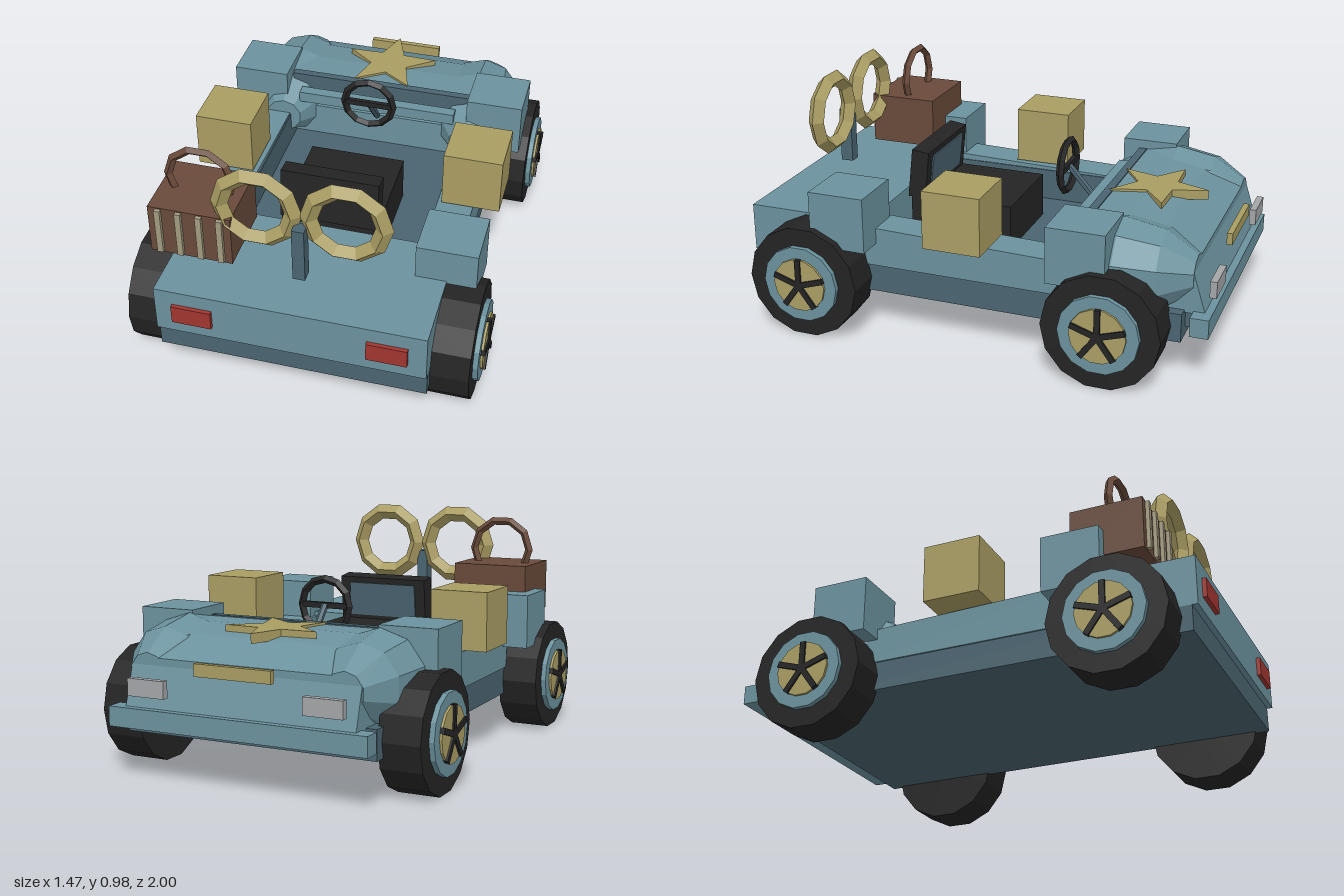
import * as THREE from 'three';

const mat = (name, color) => {
  const m = new THREE.MeshStandardMaterial({ color, flatShading: true });
  m.name = name;
  return m;
};

export function createModel() {
  const car = new THREE.Group();
  car.name = 'openCar';
  const blue = mat('bodyBlue', 0x6b929e), dark = mat('darkBlue', 0x4a6470),
    black = mat('rubberBlack', 0x242424), gold = mat('dullGold', 0xaa9d63),
    brown = mat('leatherBrown', 0x694a3a), red = mat('lampRed', 0xa0352f),
    grey = mat('lampGrey', 0xa3a6a8), beige = mat('strapBeige', 0xa39b80);

  const add = (name, geo, m, parent = car) => {
    const mesh = new THREE.Mesh(geo, m);
    mesh.name = name;
    parent.add(mesh);
    return mesh;
  };
  // Box given by its limits on each axis
  const box = (name, m, x0, x1, y0, y1, z0, z1, parent = car) => {
    const mesh = add(name, new THREE.BoxGeometry(x1 - x0, y1 - y0, z1 - z0), m, parent);
    mesh.position.set((x0 + x1) / 2, (y0 + y1) / 2, (z0 + z1) / 2);
    return mesh;
  };
  // Side profile of [z, y] points, extruded across the car from x0 to x1
  const profile = (name, m, pts, x0, x1) => {
    const shape = new THREE.Shape(pts.map(([z, y]) => new THREE.Vector2(-z, y)));
    const geo = new THREE.ExtrudeGeometry(shape, { depth: x1 - x0, bevelEnabled: false });
    geo.rotateY(Math.PI / 2).translate(x0, 0, 0);
    return add(name, geo, m);
  };
  const ring = (name, m, R, r, n, x, y, z) => {
    const mesh = add(name, new THREE.TorusGeometry(R, r, 4, n), m);
    mesh.position.set(x, y, z);
    return mesh;
  };

  // Chassis, rear deck and nose
  box('chassis', dark, -0.545, 0.545, 0.18, 0.3, -0.885, 0.96);
  box('rearDeck', blue, -0.545, 0.545, 0.285, 0.488, 0.45, 0.983);
  profile('hood', blue, [[-0.47, 0.3], [-0.47, 0.595], [-0.61, 0.595], [-0.76, 0.568],
    [-0.915, 0.49], [-0.915, 0.3]], -0.42, 0.42);
  profile('nose', blue, [[-0.42, 0.29], [-0.42, 0.45], [-0.8, 0.47], [-0.915, 0.46], [-0.968, 0.29]], -0.5, 0.5);
  box('bumper', blue, -0.56, 0.56, 0.22, 0.3, -0.995, -0.92);
  box('bumperMount', dark, -0.48, 0.48, 0.22, 0.29, -0.92, -0.88);

  // Dashboard and cowl
  box('dashboard', dark, -0.41, 0.41, 0.3, 0.6, -0.475, -0.44);
  box('cowlBar', blue, -0.36, 0.36, 0.5, 0.55, -0.415, -0.365);

  // Fender dome, laid along the car
  const domePts = [[0, -0.3], [0.08, -0.3], [0.165, -0.17], [0.195, 0], [0.165, 0.15], [0.08, 0.28], [0, 0.28]];
  const dome = new THREE.LatheGeometry(domePts.map(p => new THREE.Vector2(...p)), 10);
  dome.rotateX(Math.PI / 2);

  for (const s of [1, -1]) {
    const side = (name, m, a, b, ...r) => box(name, m, Math.min(s * a, s * b), Math.max(s * a, s * b), ...r);
    // Sills, fenders and side crates
    const [a, b] = s > 0 ? [0.4, 0.552] : [-0.552, -0.4];
    profile('sill', blue, [[0.46, 0.3], [0.46, 0.468], [-0.42, 0.445], [-0.42, 0.3]], a, b);
    side('innerPanel', dark, 0.395, 0.4, 0.3, 0.44, -0.44, 0.45);
    side('rearFender', blue, 0.418, 0.664, 0.4, 0.635, 0.405, 0.647);
    side('frontFender', blue, 0.418, 0.664, 0.4, 0.635, -0.608, -0.367);
    side('sideCrate', gold, 0.418, 0.664, 0.465, 0.71, -0.1, 0.145);
    add('fenderDome', dome, blue).position.set(s * 0.428, 0.43, -0.615);
    // Lamps
    side('headlight', grey, 0.3, 0.465, 0.35, 0.42, -1, -0.972);
    side('tailLight', red, 0.31, 0.472, 0.345, 0.425, 0.975, 1);

    // Wheels: tyre, rim, hub disc and five spokes
    for (const z of [0.677, -0.603]) {
      const wheel = new THREE.Group();
      wheel.name = z > 0 ? 'rearWheel' : 'frontWheel';
      wheel.position.set(s * 0.612, 0.242, z);
      car.add(wheel);
      const disc = (name, m, r, w, n, x) => {
        const geo = new THREE.CylinderGeometry(r, r, w, n).rotateZ(Math.PI / 2);
        add(name, geo, m, wheel).position.x = s * x;
      };
      disc('tyre', black, 0.242, 0.172, 14, 0);
      disc('rim', blue, 0.165, 0.06, 14, 0.077);
      disc('hubDisc', gold, 0.115, 0.04, 14, 0.097);
      for (let i = 0; i < 5; i++) {
        const spoke = new THREE.BoxGeometry(0.02, 0.115, 0.024).translate(0, 0.0575, 0);
        const mesh = add('spoke', spoke, black, wheel);
        mesh.position.x = s * 0.115;
        mesh.rotation.x = i * Math.PI * 2 / 5;
      }
    }
  }

  // Star lying on the hood
  const star = new THREE.Shape();
  for (let i = 0; i < 10; i++) {
    const r = i % 2 ? 0.088 : 0.213, t = Math.PI / 2 + i * Math.PI / 5;
    star[i ? 'lineTo' : 'moveTo'](r * Math.cos(t), r * Math.sin(t));
  }
  const starGeo = new THREE.ExtrudeGeometry(star, { depth: 0.04, bevelEnabled: false }).rotateX(-Math.PI / 2);
  add('hoodStar', starGeo, gold).position.set(0, 0.565, -0.637);
  box('nosePlate', gold, -0.167, 0.167, 0.45, 0.5, -0.992, -0.968);

  // Seat
  box('seatCushion', black, -0.207, 0.207, 0.3, 0.494, -0.055, 0.4);
  profile('seatBack', black, [[0.335, 0.48], [0.316, 0.685], [0.392, 0.695], [0.415, 0.48]], -0.207, 0.207);
  profile('seatPanel', dark, [[0.328, 0.51], [0.311, 0.66], [0.32, 0.66], [0.337, 0.51]], -0.16, 0.16);

  // Steering wheel and column
  ring('steeringWheel', black, 0.11, 0.017, 12, 0, 0.635, -0.24);
  box('steeringSpoke', black, -0.11, 0.11, 0.623, 0.647, -0.25, -0.23);
  const from = new THREE.Vector3(0, 0.635, -0.245), to = new THREE.Vector3(0, 0.46, -0.4);
  const column = add('steeringColumn', new THREE.CylinderGeometry(0.015, 0.015, from.distanceTo(to), 6), dark);
  column.position.copy(from).lerp(to, 0.5);
  column.quaternion.setFromUnitVectors(new THREE.Vector3(0, 1, 0), from.clone().sub(to).normalize());

  // Twin rings on a post
  box('ringPost', dark, -0.025, 0.025, 0.53, 0.77, 0.775, 0.83);
  for (const s of [1, -1]) ring('goldRing', gold, 0.148, 0.036, 10, s * 0.178, 0.81, 0.78);

  // Luggage case with handle and straps
  box('case', brown, -0.614, -0.276, 0.53, 0.75, 0.51, 0.81);
  ring('caseHandle', brown, 0.132, 0.018, 10, -0.446, 0.81, 0.66);
  for (let i = 0; i < 4; i++) {
    const x = -0.57 + i * 0.084;
    box('caseStrap', beige, x - 0.012, x + 0.012, 0.54, 0.745, 0.805, 0.826);
  }
  return car;
}
